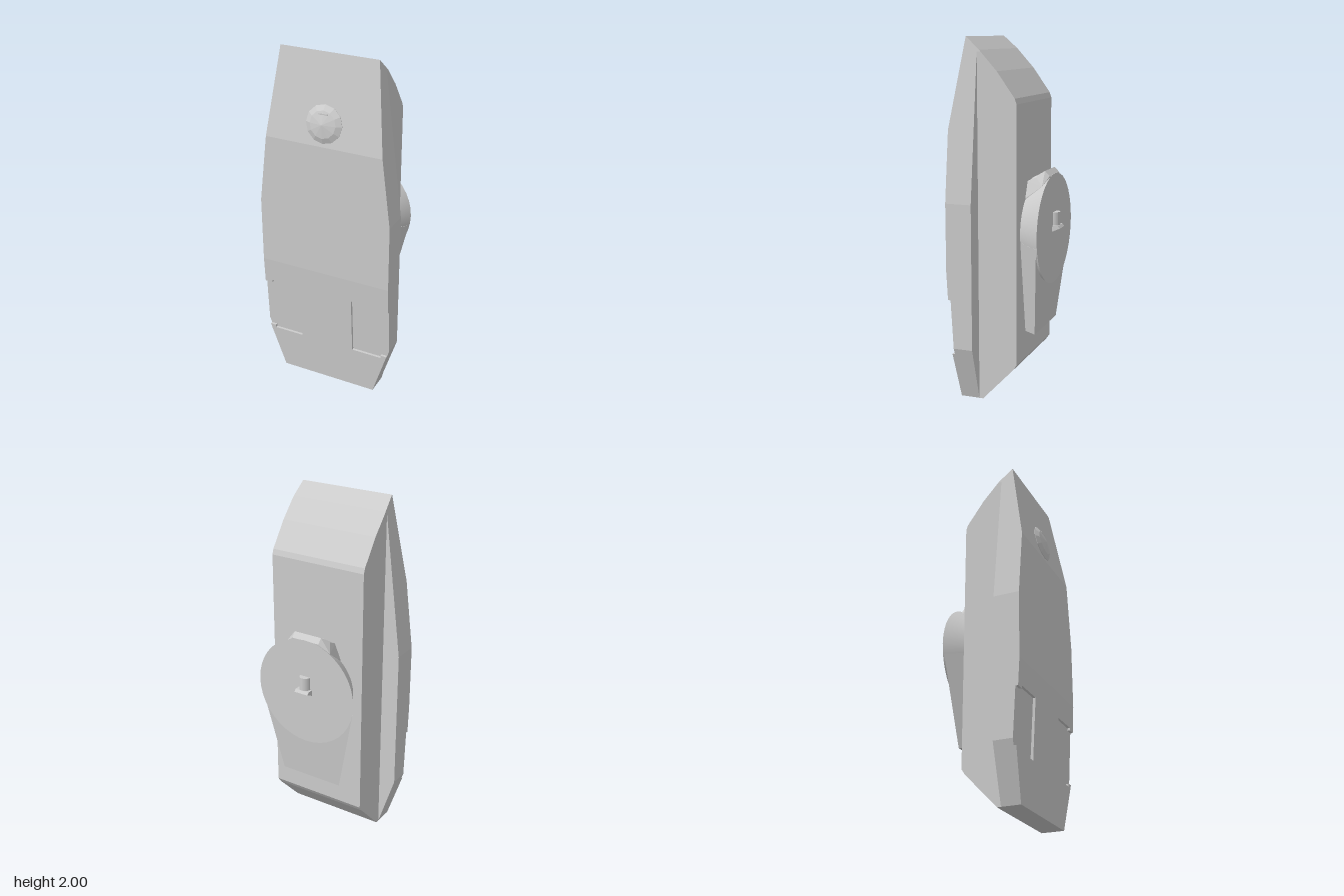
import * as THREE from 'three';
import { ConvexGeometry } from 'three/addons/geometries/ConvexGeometry.js';

const material = new THREE.MeshStandardMaterial({ color: 0xcccccc, flatShading: true });
const smooth = new THREE.MeshStandardMaterial({ color: 0xcccccc });

function add(group, name, geometry, mat = material) {
  const mesh = new THREE.Mesh(geometry, mat);
  mesh.name = name;
  group.add(mesh);
  return mesh;
}

// Piecewise linear lookup through [y, value] pairs.
function lerpTable(table, y) {
  for (let i = 1; i < table.length; i++) {
    const [y0, v0] = table[i - 1], [y1, v1] = table[i];
    if (y <= y1) return v0 + (v1 - v0) * (y - y0) / (y1 - y0);
  }
  return table[table.length - 1][1];
}

// Convex solid from points given for the +x side and mirrored.
function mirroredHull(points) {
  return new ConvexGeometry(points.flatMap(([x, y, z]) =>
    [new THREE.Vector3(x, y, z), new THREE.Vector3(-x, y, z)]));
}

const frontZ = [[0, 0.22], [0.74, 0.26], [1.51, 0.26], [2, 0.178]];
const backZ = [[0, 0.09], [0.19, -0.09], [0.22, -0.11], [1.65, -0.11], [1.68, -0.1],
  [1.82, 0], [1.93, 0.1], [2, 0.178]];
const halfWidth = [[0, 0.29], [0.31, 0.39], [1.12, 0.39], [2, 0.28]];

// Cross-section at height y; inner and outer are the depths of the panel recess.
function section([y, inner = 0, outer = 0]) {
  const zf = lerpTable(frontZ, y), zb = lerpTable(backZ, y), w = lerpTable(halfWidth, y);
  const ledge = Math.max(0.112, zb), back = Math.min(0.29, w), notch = Math.min(0.343, w);
  const half = [[0.163, zf], [0.163, zf - inner], [notch, zf - inner], [notch, zf - outer],
    [w, zf - outer], [w, ledge], [back, ledge], [back, zb]];
  const mirror = half.map(([x, z]) => [-x, z]).reverse();
  return [...half, ...mirror].map(([x, z]) => [x, y, z]);
}

function bodyGeometry() {
  const d = 0.015;
  const rings = [[0], [0.19], [0.22], [0.258], [0.258, d], [0.275, d], [0.275, d, d], [0.31, d, d],
    [0.585, d, d], [0.585, d], [0.6, d], [0.6], [0.74], [1.12], [1.51], [1.65], [1.68], [1.82],
    [1.92], [1.93], [2]].map(section);
  const pos = [];
  const n = rings[0].length;
  for (let r = 0; r < rings.length - 1; r++) {
    const a = rings[r], b = rings[r + 1];
    for (let i = 0; i < n; i++) {
      const j = (i + 1) % n;
      pos.push(...a[i], ...a[j], ...b[j], ...a[i], ...b[j], ...b[i]);
    }
  }
  // Bottom cap
  for (let i = 1; i < n - 1; i++) pos.push(...rings[0][0], ...rings[0][i + 1], ...rings[0][i]);
  const geometry = new THREE.BufferGeometry();
  geometry.setAttribute('position', new THREE.Float32BufferAttribute(pos, 3));
  geometry.computeVertexNormals();
  return geometry;
}

export function createModel() {
  const group = new THREE.Group();
  group.name = 'handheldCase';
  add(group, 'body', bodyGeometry());

  // Faceted button on the sloping upper front
  const profile = [[0.105, -0.02], [0.105, 0.002], [0.075, 0.018], [0, 0.032]];
  const button = add(group, 'button',
    new THREE.LatheGeometry(profile.map(p => new THREE.Vector2(...p)), 12));
  button.position.set(0, 1.633, 0.24);
  button.rotation.x = Math.PI / 2 - 0.166;
  const lip = add(group, 'buttonLip', new THREE.BoxGeometry(0.05, 0.008, 0.012));
  lip.position.set(0, 1.69, 0.247);

  // Flaring clip on the back: round disc, tapered tongue, bevelled tab
  const disc = add(group, 'clipDisc', new THREE.CylinderGeometry(0.31, 0.235, 0.12, 40), smooth);
  disc.rotation.x = -Math.PI / 2;
  disc.position.set(0, 0.945, -0.17);

  add(group, 'clipTongue', mirroredHull([
    [0.145, 0.375, -0.108], [0.19, 0.375, -0.18],
    [0.23, 0.9, -0.108], [0.302, 0.885, -0.224],
  ]));

  add(group, 'clipTab', mirroredHull([
    [0.115, 1.22, -0.108], [0.115, 1.245, -0.16], [0.085, 1.278, -0.2],
    [0.152, 1.13, -0.108], [0.145, 1.2, -0.203], [0.085, 1.25, -0.227],
    [0.15, 1.0, -0.108], [0.145, 1.0, -0.22],
  ]));
  const tabStep = add(group, 'clipTabStep', new THREE.BoxGeometry(0.09, 0.05, 0.015));
  tabStep.position.set(0, 1.205, -0.1175);

  // Small catch on the disc: half-round post over a wedge foot
  const post = add(group, 'catchPost',
    new THREE.CylinderGeometry(0.033, 0.033, 0.08, 10, 1, false, Math.PI / 2, Math.PI));
  post.position.set(0, 1.0, -0.229);
  add(group, 'catchFoot', mirroredHull([
    [0.043, 0.932, -0.228], [0.043, 0.952, -0.273],
    [0.043, 0.966, -0.262], [0.043, 0.966, -0.228],
  ]));
  return group;
}
